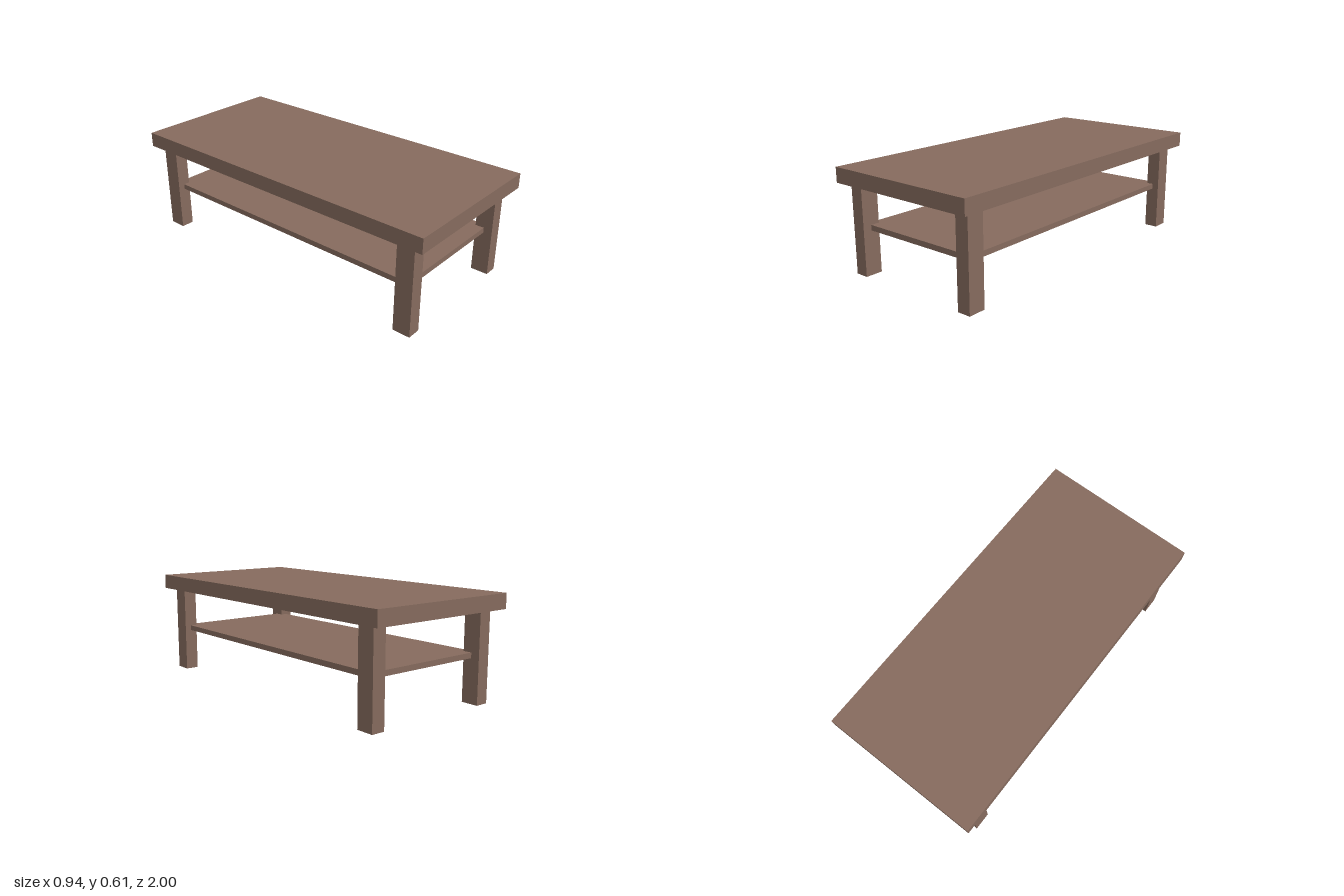
import * as THREE from 'three';

export function createModel() {
  const table = new THREE.Group();
  table.name = 'coffeeTable';
  const wood = new THREE.MeshStandardMaterial({ color: 0x866b5e });
  wood.name = 'brownWood';

  // Box given by its minimum and maximum on each axis
  const addBox = (name, [x0, x1], [y0, y1], [z0, z1]) => {
    const mesh = new THREE.Mesh(new THREE.BoxGeometry(x1 - x0, y1 - y0, z1 - z0), wood);
    mesh.position.set((x0 + x1) / 2, (y0 + y1) / 2, (z0 + z1) / 2);
    mesh.name = name;
    table.add(mesh);
  };

  // Thick top slab
  addBox('tableTop', [-0.468, 0.468], [0.522, 0.608], [-1, 1]);

  // Four legs, set very slightly off centre
  const legX = { Right: [-0.431, -0.352], Left: [0.342, 0.421] };
  const legZ = { front: [0.833, 0.936], back: [-0.928, -0.825] };
  for (const [end, z] of Object.entries(legZ)) {
    for (const [side, x] of Object.entries(legX)) {
      addBox(`${end}${side}Leg`, x, [0, 0.522], z);
    }
  }

  // Thin lower shelf reaching the middle of each leg
  addBox('lowerShelf', [-0.391, 0.382], [0.253, 0.284], [-0.877, 0.885]);

  return table;
}
